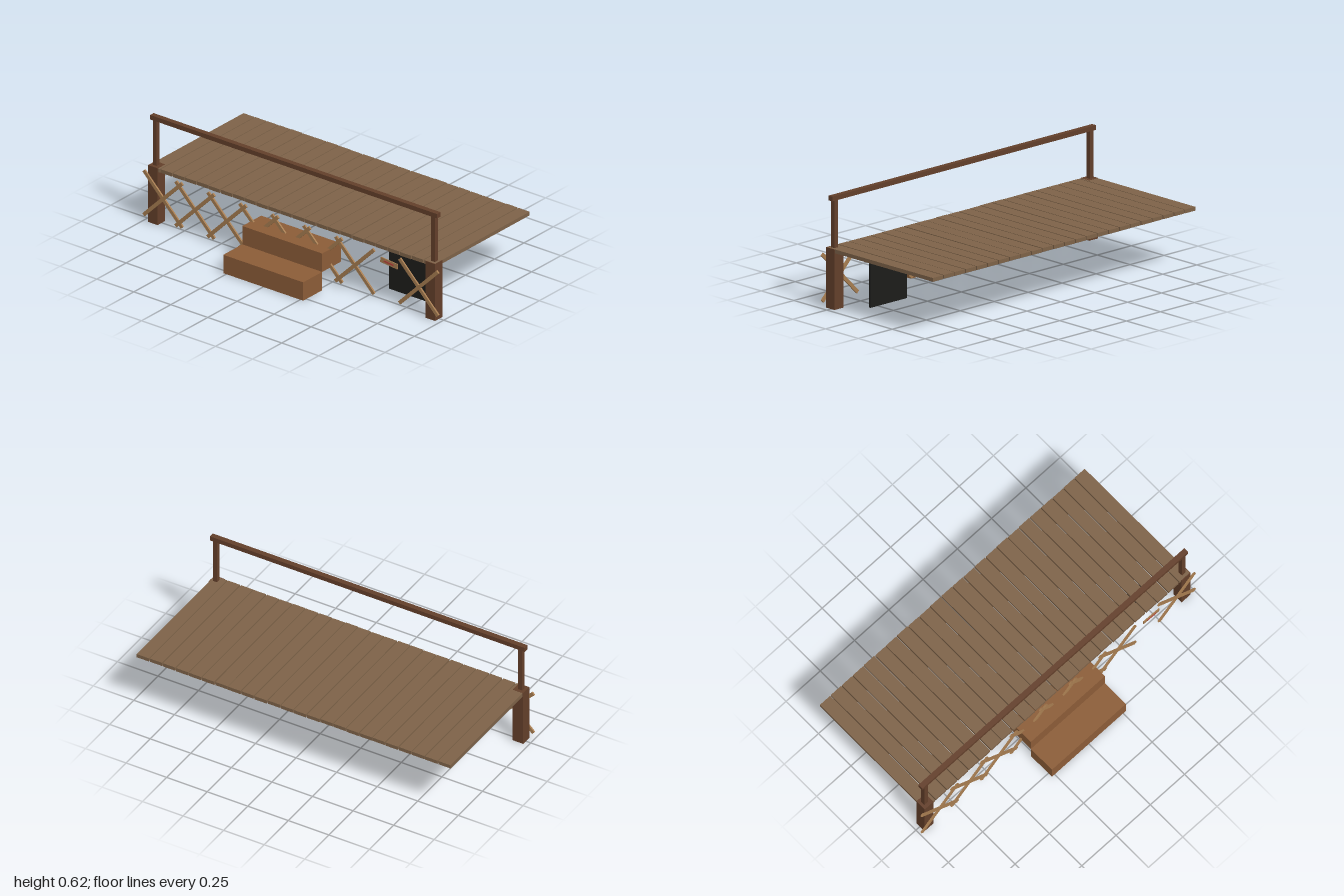
import * as THREE from 'three';

const mat = (color) => new THREE.MeshStandardMaterial({ color, flatShading: true });

export function createModel() {
  const deck = new THREE.Group();
  deck.name = 'raisedDeck';
  const plankMat = mat(0x7d6248), darkWood = mat(0x633f2a), stepMat = mat(0x8b5c37);
  const latticeMat = mat(0xa67c50), black = mat(0x1c1c1a), red = mat(0xb5453a);

  // Box helper: size, centre, optional parent
  const box = (name, material, w, h, d, x, y, z, parent = deck) => {
    const mesh = new THREE.Mesh(new THREE.BoxGeometry(w, h, d), material);
    mesh.name = name;
    mesh.position.set(x, y, z);
    parent.add(mesh);
    return mesh;
  };

  // Small seeded generator for uneven boards, returns -1..1
  let seed = 7;
  const jitter = () => {
    seed = (seed * 16807) % 2147483647;
    return (seed / 2147483647) * 2 - 1;
  };

  // Deck planks, laid front to back
  const count = 24, pitch = 1.94 / count;
  const planks = new THREE.Group();
  planks.name = 'planks';
  deck.add(planks);
  for (let i = 0; i < count; i++) {
    const x = (i - (count - 1) / 2) * pitch;
    const plank = box('plank', plankMat, 0.075, 0.021, 0.808,
      x, 0.3235 + jitter() * 0.001, -0.122 + jitter() * 0.002, planks);
    plank.rotation.y = jitter() * 0.003;
  }

  // Front support posts and slimmer rail posts
  for (const side of [-1, 1]) {
    box('supportPost', darkWood, 0.065, 0.334, 0.064, side * 0.9375, 0.167, 0.254);
    box('railPost', darkWood, 0.026, 0.27, 0.026, side * 0.94, 0.465, 0.253);
  }
  box('handRail', darkWood, 1.94, 0.026, 0.03, 0, 0.609, 0.253);

  // Two block steps
  box('lowerStep', stepMat, 0.54, 0.108, 0.162, 0, 0.054, 0.446);
  box('upperStep', stepMat, 0.54, 0.108, 0.161, 0, 0.162, 0.2845);

  // Lattice skirt of crossed slats, one bay left open
  const lattice = new THREE.Group();
  lattice.name = 'lattice';
  deck.add(lattice);
  for (let i = -4; i <= 4; i++) {
    if (i === 3) continue;
    for (const dir of [-1, 1]) {
      const slat = box('latticeSlat', latticeMat, 0.367, 0.02, 0.01,
        i * 0.216, 0.168, 0.2905 + dir * 0.0005, lattice);
      slat.rotation.z = dir * Math.PI / 4;
    }
  }

  // Dark panel behind the open bay
  box('openingPanel', black, 0.27, 0.243, 0.011, 0.67, 0.1215, 0.1235);

  // Crooked little sign over the opening
  const sign = new THREE.Group();
  sign.name = 'sign';
  sign.position.set(0.67, 0.256, 0.299);
  sign.rotation.z = -0.09;
  deck.add(sign);
  box('signBoard', latticeMat, 0.115, 0.03, 0.006, 0, 0, 0, sign);
  box('signStripe', red, 0.065, 0.01, 0.003, 0, 0, 0.0035, sign);

  return deck;
}
